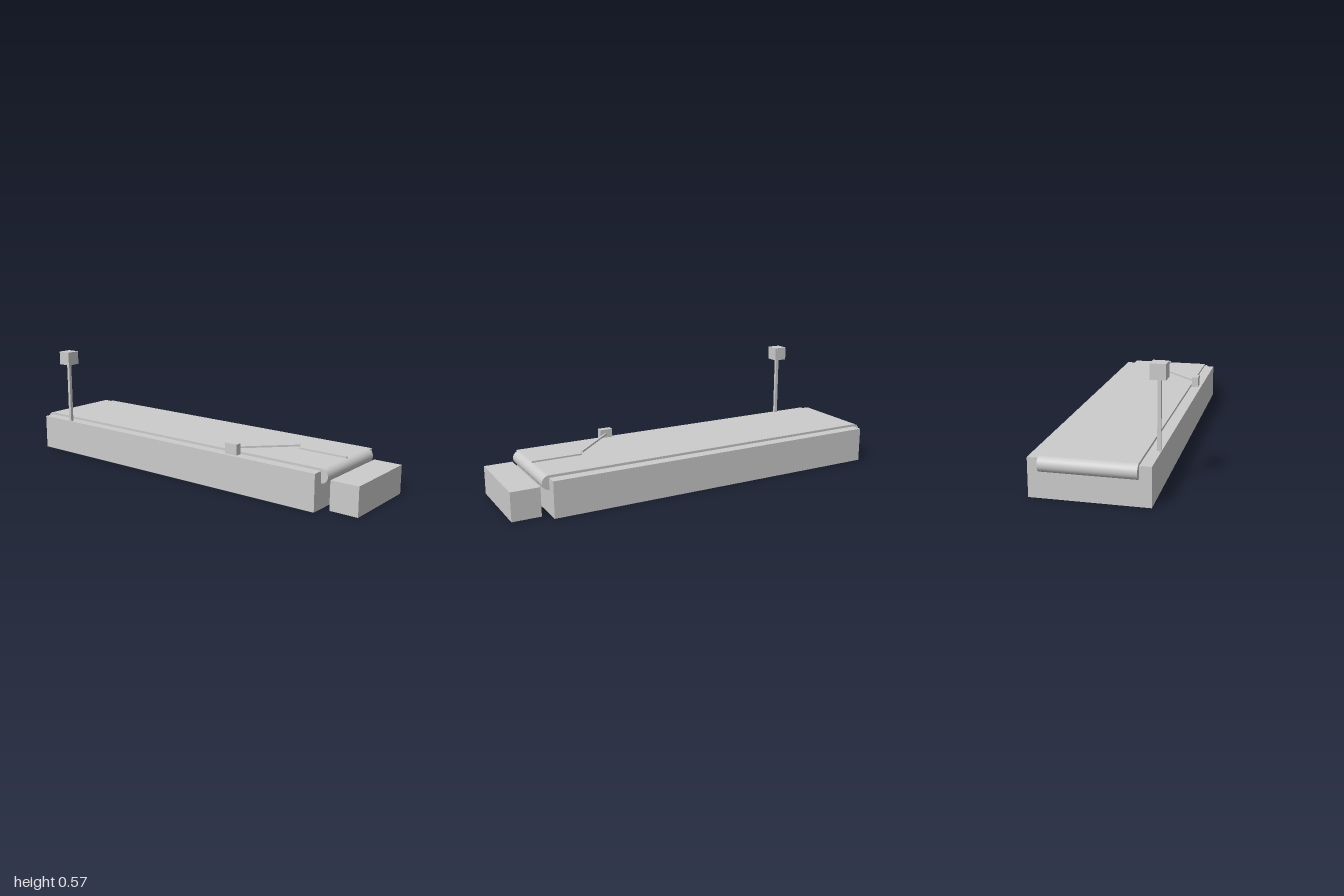
import * as THREE from 'three';

const material = new THREE.MeshStandardMaterial({ color: 0xcccccc });

export function createModel() {
  const model = new THREE.Group();
  model.name = 'conveyor';

  const add = (name, geometry, x, y, z) => {
    const mesh = new THREE.Mesh(geometry, material);
    mesh.name = name;
    mesh.position.set(x, y, z);
    model.add(mesh);
    return mesh;
  };

  // Box given by its extents along each axis
  const box = (name, [x0, x1], [y0, y1], [z0, z1]) =>
    add(name, new THREE.BoxGeometry(x1 - x0, y1 - y0, z1 - z0),
      (x0 + x1) / 2, (y0 + y1) / 2, (z0 + z1) / 2);

  // Base, with its edges showing as rails beside the belt
  box('base', [-0.965, 0.815], [0, 0.18], [-0.28, 0.257]);

  // Belt with a roller at each end
  const beltZ = [-0.225, 0.203];
  const radius = 0.035, rollerY = 0.157;
  box('belt', [-0.965, 0.815], [rollerY - radius, rollerY + radius], beltZ);
  for (const x of [-0.965, 0.815]) {
    const roller = new THREE.CylinderGeometry(radius, radius, beltZ[1] - beltZ[0], 32);
    roller.rotateX(Math.PI / 2);
    add('roller', roller, x, rollerY, (beltZ[0] + beltZ[1]) / 2);
  }

  // Collecting bin past the end of the belt
  box('bin', [0.857, 1], [0, 0.143], [-0.225, 0.193]);

  // Sensor on a post
  box('sensorPost', [-0.773, -0.757], [0.18, 0.5], [0.238, 0.254]);
  box('sensorHead', [-0.8, -0.73], [0.5, 0.57], [0.21, 0.28]);

  // Diverter: motor, swinging arm and lane divider
  box('diverterMotor', [0.308, 0.375], [0.18, 0.234], [0.207, 0.241]);
  const start = new THREE.Vector2(0.342, 0.2105), end = new THREE.Vector2(0.569, -0.0165);
  const arm = add('diverterArm', new THREE.BoxGeometry(start.distanceTo(end), 0.009, 0.009),
    (start.x + end.x) / 2, 0.2095, (start.y + end.y) / 2);
  arm.rotation.y = Math.PI / 4;
  box('laneDivider', [0.57, 0.824], [0.19, 0.2], [-0.016, -0.008]);

  return model;
}
